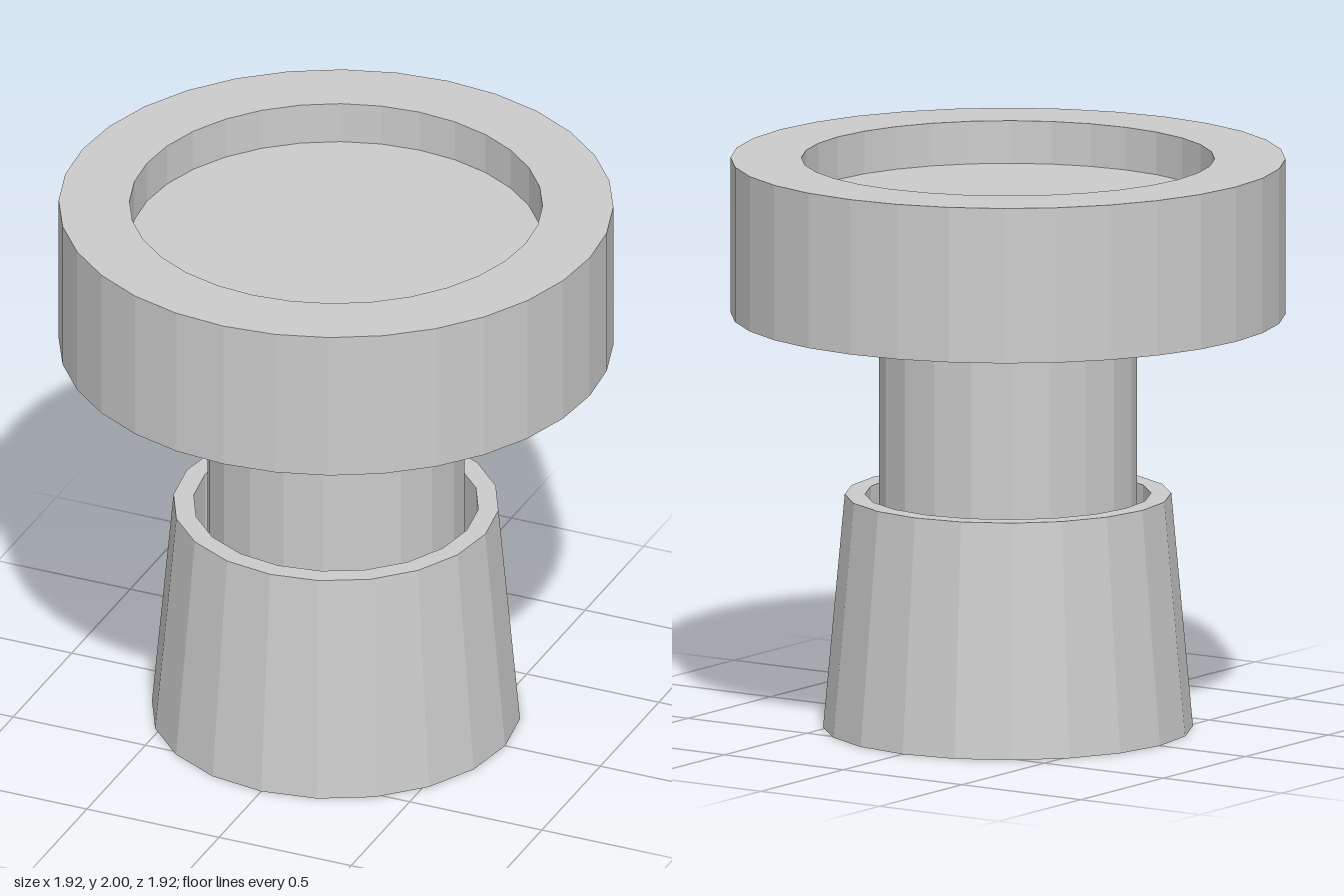
import * as THREE from 'three';

const material = new THREE.MeshStandardMaterial({ color: 0xcccccc, flatShading: true });

// Revolves a [radius, height] profile, listed from the underside up the outside.
function turned(name, profile, sides) {
  const points = profile.map(([r, y]) => new THREE.Vector2(r, y));
  const mesh = new THREE.Mesh(new THREE.LatheGeometry(points, sides), material);
  mesh.name = name;
  return mesh;
}

export function createModel() {
  const group = new THREE.Group();
  group.name = 'pedestal';

  // Tapered cup with a thin rim, closed at the bottom
  group.add(turned('baseCup', [
    [0, 0], [0.64, 0], [0.565, 0.82], [0.495, 0.82], [0.495, 0.1], [0, 0.1],
  ], 20));

  // Straight post standing in the cup
  const stem = new THREE.Mesh(new THREE.CylinderGeometry(0.447, 0.447, 1.36, 20), material);
  stem.name = 'stem';
  stem.position.y = 0.1 + 1.36 / 2;
  group.add(stem);

  // Wide head with a slightly conical underside and a shallow round recess on top
  group.add(turned('head', [
    [0, 1.435], [0.447, 1.435], [0.96, 1.455], [0.96, 2], [0.715, 2], [0.715, 1.85], [0, 1.85],
  ], 32));

  return group;
}
